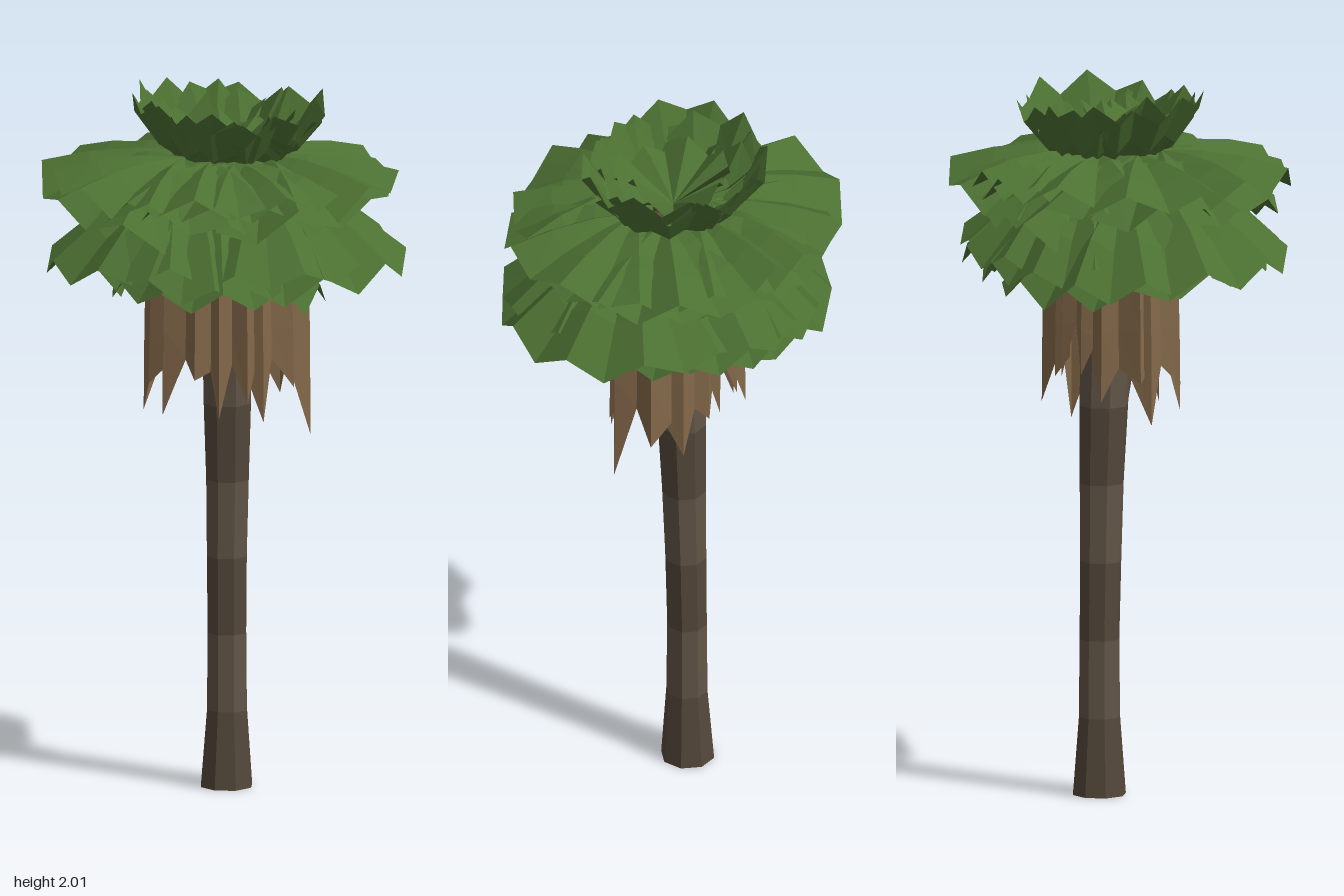
import * as THREE from 'three';

const flat = (color) => new THREE.MeshStandardMaterial({ color, flatShading: true, side: THREE.DoubleSide });
const BARK = [flat(0x54483b), flat(0x625547)], DRY = flat(0x84694a), LEAF = flat(0x4c7032);

// small seeded generator, returns -1..1
let seed = 11;
function jitter() {
  seed = (seed * 16807) % 2147483647;
  return (seed / 2147483647) * 2 - 1;
}

// the crown and skirt are widest along one diagonal
const stretch = (azimuth, amount) => 1 + amount * Math.cos(2 * (azimuth - Math.PI * 0.75));

// faceted sheet: point(col, row) gives each corner of the grid
function sheet(name, cols, rows, material, point) {
  const positions = [], index = [];
  for (let r = 0; r <= rows; r++) {
    for (let c = 0; c <= cols; c++) positions.push(...point(c, r));
  }
  for (let r = 0; r < rows; r++) {
    for (let c = 0; c < cols; c++) {
      const a = r * (cols + 1) + c, b = a + cols + 1;
      index.push(a, a + 1, b, a + 1, b + 1, b);
    }
  }
  const geometry = new THREE.BufferGeometry();
  geometry.setAttribute('position', new THREE.Float32BufferAttribute(positions, 3));
  geometry.setIndex(index);
  geometry.computeVertexNormals();
  const mesh = new THREE.Mesh(geometry, material);
  mesh.name = name;
  return mesh;
}

// slightly leaning trunk in bands of alternating tone; rings are [y, x, z, radius]
function makeTrunk() {
  const trunk = new THREE.Group();
  trunk.name = 'trunk';
  const rings = [
    [0, -0.045, -0.055, 0], [0, -0.045, -0.055, 0.076], [0.22, -0.043, -0.055, 0.059],
    [0.44, -0.043, -0.055, 0.057], [0.66, -0.04, -0.052, 0.059], [0.88, -0.035, -0.05, 0.063],
    [1.1, -0.03, -0.045, 0.07], [1.4, -0.02, -0.035, 0.075], [1.74, -0.01, -0.03, 0.08], [1.76, -0.01, -0.03, 0],
  ];
  const sides = 8;
  for (let i = 0; i < rings.length - 1; i++) {
    trunk.add(sheet('trunkBand', sides, 1, BARK[(i + 1) % 2], (c, r) => {
      const [y, x, z, radius] = rings[i + r];
      const a = -((c + 0.5) / sides) * Math.PI * 2;
      return [x + radius * Math.sin(a), y, z + radius * Math.cos(a)];
    }));
  }
  return trunk;
}

// dead fronds hanging against the trunk, with a jagged lower edge
function makeSkirt() {
  const skirt = new THREE.Group();
  skirt.name = 'deadFrondSkirt';
  const count = 8, cols = 4;
  const heights = [1.77, 1.71, 1.55, 1.34];
  const radii = [0.07, 0.14, 0.172, 0.178];
  const tipHeights = [1.28, 1.19, 1.28, 1.11, 1.27];
  for (let i = 0; i < count; i++) {
    const azimuth = (i / count) * Math.PI * 2 + 0.15 + jitter() * 0.12;
    const offset = jitter() * 0.012, drop = jitter() * 0.05;
    const tips = tipHeights.map((y) => y + drop + jitter() * 0.04);
    skirt.add(sheet('deadFrond', cols, 4, DRY, (c, r) => {
      const a = azimuth - (c / cols * 2 - 1) * 0.5;
      const pleat = (c % 2 ? 0.007 : -0.007) * Math.min(r, 2);
      const radius = ((r < 4 ? radii[r] : 0.18) + offset + pleat) * stretch(a, 0.18);
      const y = r < 4 ? heights[r] : tips[c];
      return [-0.01 + radius * Math.sin(a), y, -0.028 + radius * Math.cos(a)];
    }));
  }
  return skirt;
}

// one pleated fan leaf; height(v, cosPhi) gives its curve from stem to tip
function makeFan(azimuth, o) {
  const reach = o.reach * stretch(azimuth, 0.1) * (1 + jitter() * 0.05);
  const lift = jitter() * o.lift, roll = jitter() * o.lift;
  const tips = Array.from({ length: o.cols + 1 }, () => jitter() * 0.015);
  const sin = Math.sin(azimuth), cos = Math.cos(azimuth);
  return sheet('fanLeaf', o.cols, 3, LEAF, (c, r) => {
    const v = r / 3, phi = (c / o.cols * 2 - 1) * o.spread;
    const out = o.start + reach * v * Math.cos(phi), across = -reach * v * Math.sin(phi);
    const sway = lift + roll * Math.sin(phi) + tips[c] + (c % 2 ? o.pleat : -o.pleat);
    const y = o.y + o.height(v, Math.cos(phi)) + sway * v;
    return [o.x + out * sin + across * cos, y, o.z + out * cos - across * sin];
  });
}

function makeLayer(name, count, turn, options) {
  const layer = new THREE.Group();
  layer.name = name;
  for (let i = 0; i < count; i++) {
    layer.add(makeFan((i / count) * Math.PI * 2 + turn + jitter() * 0.2, options));
  }
  return layer;
}

export function createModel() {
  const palm = new THREE.Group();
  palm.name = 'fanPalm';
  palm.add(makeTrunk(), makeSkirt());

  // drooping lower leaves
  palm.add(makeLayer('lowerLeaves', 8, 0.1, {
    x: 0.005, z: 0, y: 1.74, start: 0.13, reach: 0.335, spread: 1.65, cols: 11, pleat: 0.026, lift: 0.04,
    height: (v, k) => -0.07 * v - (0.16 + 0.02 * (1 - k)) * v * v,
  }));
  // spreading middle leaves, their sides folded down
  palm.add(makeLayer('middleLeaves', 8, 0.5, {
    x: 0, z: 0, y: 1.825, start: 0.12, reach: 0.345, spread: 1.75, cols: 11, pleat: 0.026, lift: 0.025,
    height: (v, k) => 0.01 * v - (0.07 + 0.09 * (1 - k)) * v * v,
  }));
  // young leaves cupped upwards at the top
  palm.add(makeLayer('topLeaves', 7, 0.3, {
    x: -0.01, z: -0.03, y: 1.79, start: 0.06, reach: 0.205, spread: 1.7, cols: 9, pleat: 0.028, lift: 0.02,
    height: (v, k) => 0.04 * v + (0.08 + 0.045 * k) * v ** 3,
  }));
  // small inner leaves closing the crown
  palm.add(makeLayer('innerLeaves', 4, 0.8, {
    x: -0.01, z: -0.02, y: 1.81, start: 0, reach: 0.15, spread: 1.4, cols: 7, pleat: 0.025, lift: 0.03,
    height: (v) => 0.08 * v,
  }));
  return palm;
}
